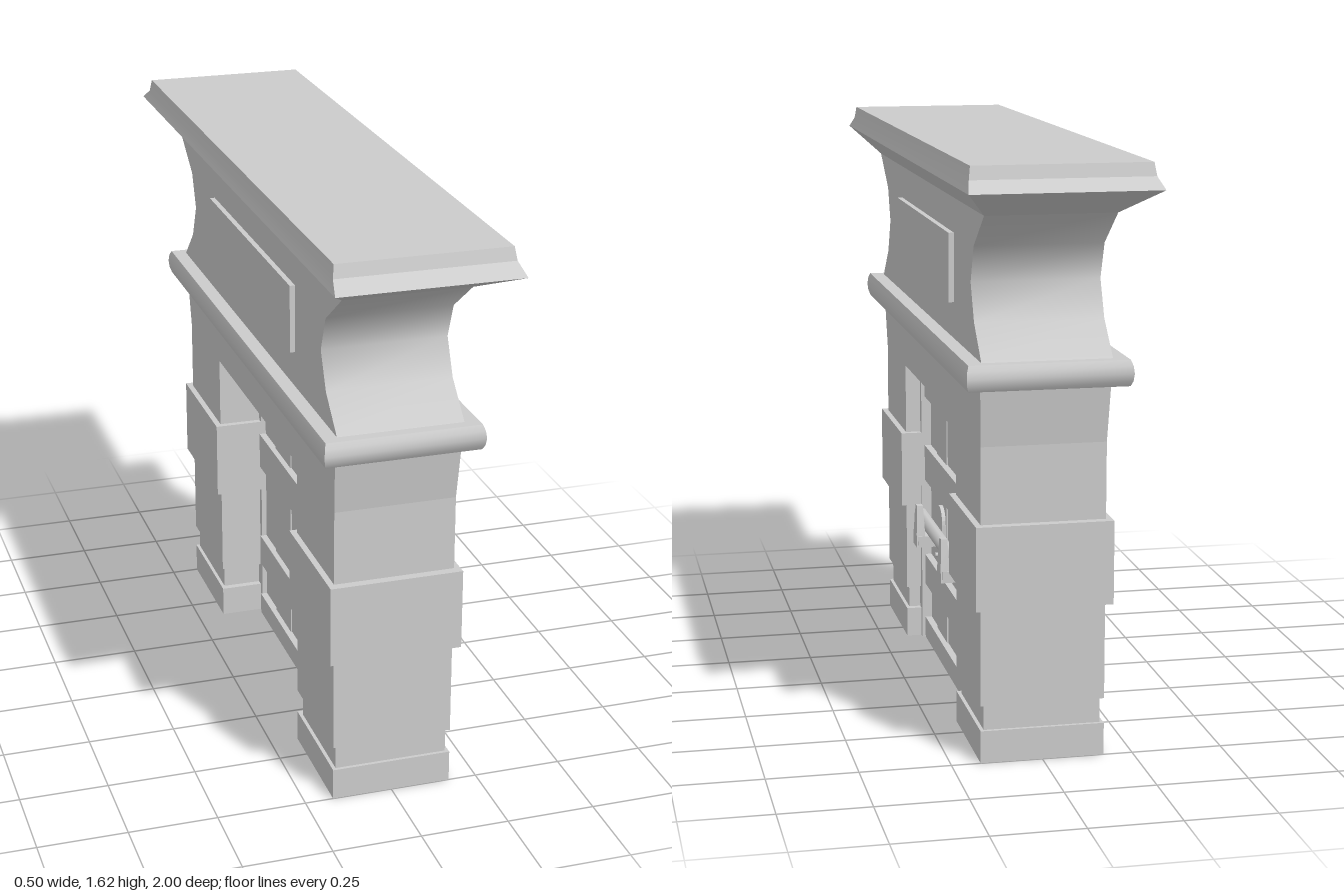
import * as THREE from 'three';
import { toCreasedNormals } from 'three/addons/utils/BufferGeometryUtils.js';

const material = new THREE.MeshStandardMaterial({ color: 0xcccccc });

function add(parent, name, geometry) {
  const mesh = new THREE.Mesh(geometry, material);
  mesh.name = name;
  parent.add(mesh);
  return mesh;
}

// Box given by its limits on each axis
function box(parent, name, x0, x1, y0, y1, z0, z1) {
  const g = new THREE.BoxGeometry(x1 - x0, y1 - y0, z1 - z0);
  g.translate((x0 + x1) / 2, (y0 + y1) / 2, (z0 + z1) / 2);
  return add(parent, name, g);
}

// Stacked rectangles [y, halfX, halfZ] joined into a closed solid
function stack(rings, crease) {
  const pos = [], idx = [];
  for (const [y, x, z] of rings) pos.push(x, y, z, x, y, -z, -x, y, -z, -x, y, z);
  for (let r = 0; r < rings.length - 1; r++) {
    for (let i = 0; i < 4; i++) {
      const a = r * 4 + i, b = r * 4 + (i + 1) % 4;
      idx.push(a, b, b + 4, a, b + 4, a + 4);
    }
  }
  const t = (rings.length - 1) * 4;
  idx.push(t, t + 1, t + 2, t, t + 2, t + 3, 0, 2, 1, 0, 3, 2);
  const g = new THREE.BufferGeometry();
  g.setAttribute('position', new THREE.Float32BufferAttribute(pos, 3));
  g.setIndex(idx);
  return toCreasedNormals(g.toNonIndexed(), crease);
}

export function createModel() {
  const model = new THREE.Group();
  model.name = 'fireplaceGate';

  // Pillars, one at each end
  for (const s of [1, -1]) {
    const pillar = new THREE.Group();
    pillar.name = s > 0 ? 'frontPillar' : 'backPillar';
    model.add(pillar);
    const block = (name, hx, y0, y1, zi, zo) =>
      box(pillar, name, -hx, hx, y0, y1, Math.min(s * zi, s * zo), Math.max(s * zi, s * zo));
    block('pillarBase', 0.17, 0, 0.09, 0.41, 0.75);
    block('pillarNeck', 0.16, 0.09, 0.16, 0.43, 0.74);
    block('pillarShaft', 0.17, 0.16, 0.875, 0.41, 0.75);
    block('pillarBand', 0.187, 0.43, 0.66, 0.392, 0.775);
    // Jamb lining beside the door
    const jamb = block('doorJamb', 0.085, 0, 0.875, 0.39, 0.432);
    jamb.position.x = 0.04;
  }

  // Lintel, moulding, hollow-sided hood and cornice
  add(model, 'lintel', stack([[0.87, 0.17, 0.75], [1.03, 0.175, 0.77]], 0.3));
  add(model, 'moulding', stack([
    [1.03, 0.215, 0.815], [1.045, 0.22, 0.825], [1.065, 0.222, 0.83],
    [1.085, 0.22, 0.825], [1.1, 0.215, 0.815]], 0.6));
  add(model, 'hood', stack([
    [1.1, 0.175, 0.785], [1.19, 0.175, 0.69], [1.29, 0.175, 0.645],
    [1.39, 0.175, 0.685], [1.485, 0.175, 0.82]], 0.9));
  add(model, 'cornice', stack([
    [1.485, 0.175, 0.82], [1.56, 0.25, 1], [1.59, 0.24, 0.95], [1.625, 0.235, 0.94]], 0.3));
  box(model, 'hoodPanel', -0.19, 0.19, 1.2, 1.39, -0.415, 0.415);

  // Plank door with cross battens on both faces
  const door = new THREE.Group();
  door.name = 'door';
  model.add(door);
  const seams = [-0.39, -0.27, -0.11, 0.11, 0.27, 0.39];
  for (let i = 0; i < 5; i++) {
    const d = i % 2 ? 0.004 : 0;
    box(door, 'plank', -0.03 - d, 0.095 + d, 0.01, 0.865, seams[i], seams[i + 1]);
  }
  for (const [y0, y1] of [[0, 0.065], [0.175, 0.27], [0.51, 0.62], [0.775, 0.87]]) {
    box(door, 'batten', -0.05, 0.115, y0, y1, -0.39, 0.39);
  }

  // Locking bar
  const bar = new THREE.CylinderGeometry(0.02, 0.02, 0.73, 8);
  bar.rotateX(Math.PI / 2);
  add(model, 'lockingBar', bar).position.set(0.138, 0.415, -0.025);

  // Bar brackets: rounded plate, arm, tapered upright, bolts
  const plate = new THREE.Shape();
  plate.absarc(0, 0.33, 0.05, Math.PI, Math.PI * 2);
  plate.absarc(0, 0.43, 0.05, 0, Math.PI);
  plate.closePath();
  for (const z of [0.175, -0.22]) {
    const bracket = new THREE.Group();
    bracket.name = 'barBracket';
    bracket.position.z = z;
    model.add(bracket);
    const plateGeometry = new THREE.ExtrudeGeometry(plate, { depth: 0.015, bevelEnabled: false, curveSegments: 6 });
    plateGeometry.rotateY(Math.PI / 2);
    add(bracket, 'bracketPlate', plateGeometry).position.x = 0.095;
    box(bracket, 'bracketArm', 0.1, 0.18, 0.36, 0.393, -0.03, 0.03);
    const upright = stack([[0.36, 0.013, 0.03], [0.4, 0.013, 0.027], [0.485, 0.009, 0.013]], 0.3);
    add(bracket, 'bracketUpright', upright).position.x = 0.171;
    for (const bz of [-0.022, 0.022]) {
      const bolt = new THREE.CylinderGeometry(0.007, 0.007, 0.012, 8);
      bolt.rotateZ(Math.PI / 2);
      add(bracket, 'bolt', bolt).position.set(0.113, 0.32, bz);
    }
  }
  return model;
}
